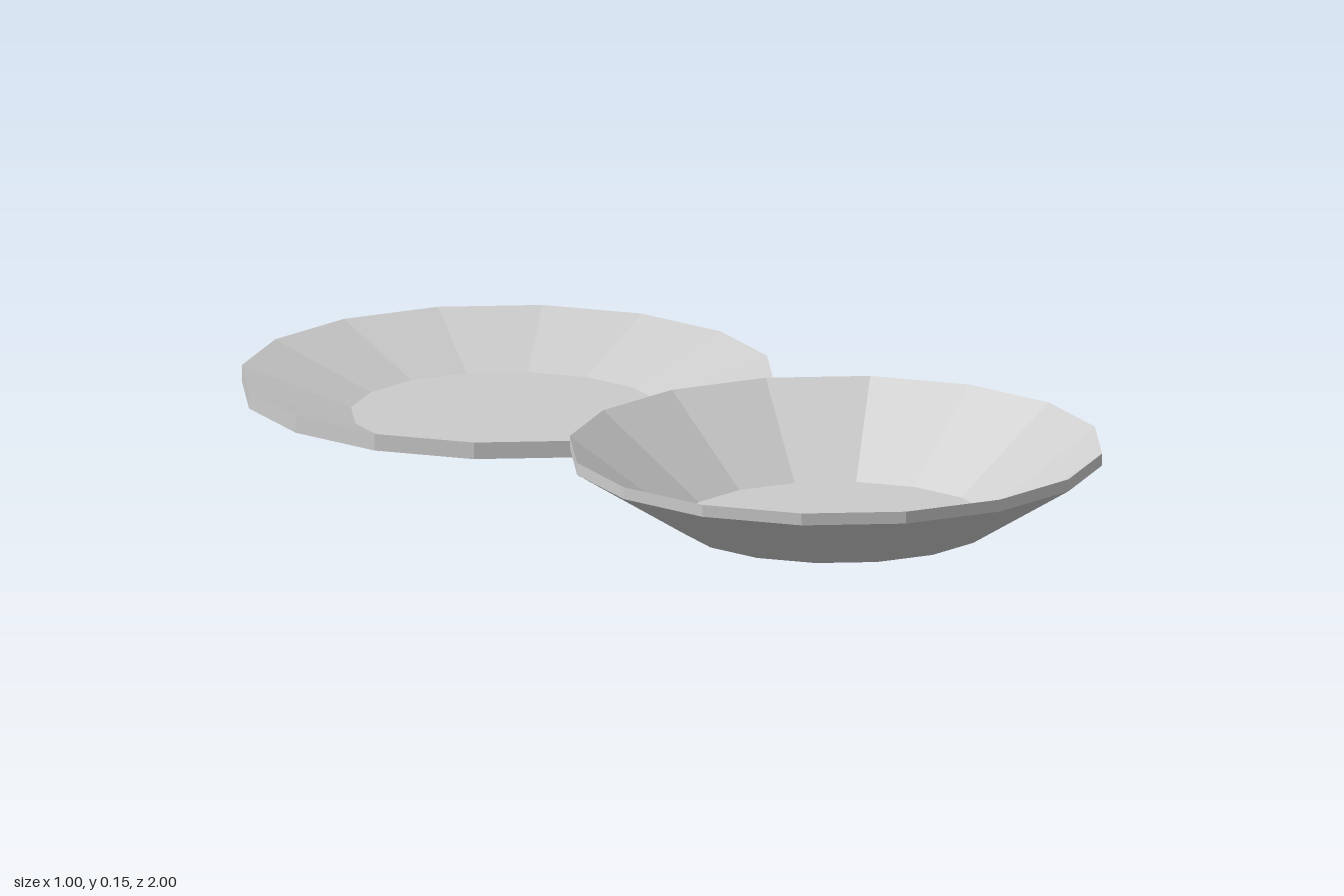
import * as THREE from 'three';

const SIDES = 16;
const RIM_RADIUS = 0.5;
const BASE_RADIUS = 0.295;

// Thin sided dish: base, flared outer wall, upright rim band, inner wall back to the base
function makeDish(name, bandBottom, height, z) {
  const profile = [
    [0, 0],
    [BASE_RADIUS, 0],
    [RIM_RADIUS, bandBottom],
    [RIM_RADIUS, height],
    [BASE_RADIUS, 0],
  ].map(([r, y]) => new THREE.Vector2(r, y));

  // Separate corners give each facet its own flat normal
  const geometry = new THREE.LatheGeometry(profile, SIDES).toNonIndexed();
  geometry.computeVertexNormals();

  // The base is a single sheet seen from both above and below
  const material = new THREE.MeshStandardMaterial({
    color: 0xcccccc,
    flatShading: true,
    side: THREE.DoubleSide,
  });
  const dish = new THREE.Mesh(geometry, material);
  dish.name = name;
  dish.position.z = z;
  return dish;
}

export function createModel() {
  const group = new THREE.Group();
  group.name = 'dishes';
  group.add(
    makeDish('deepBowl', 0.127, 0.15, 0.5),
    makeDish('shallowPlate', 0.043, 0.075, -0.5),
  );
  return group;
}
